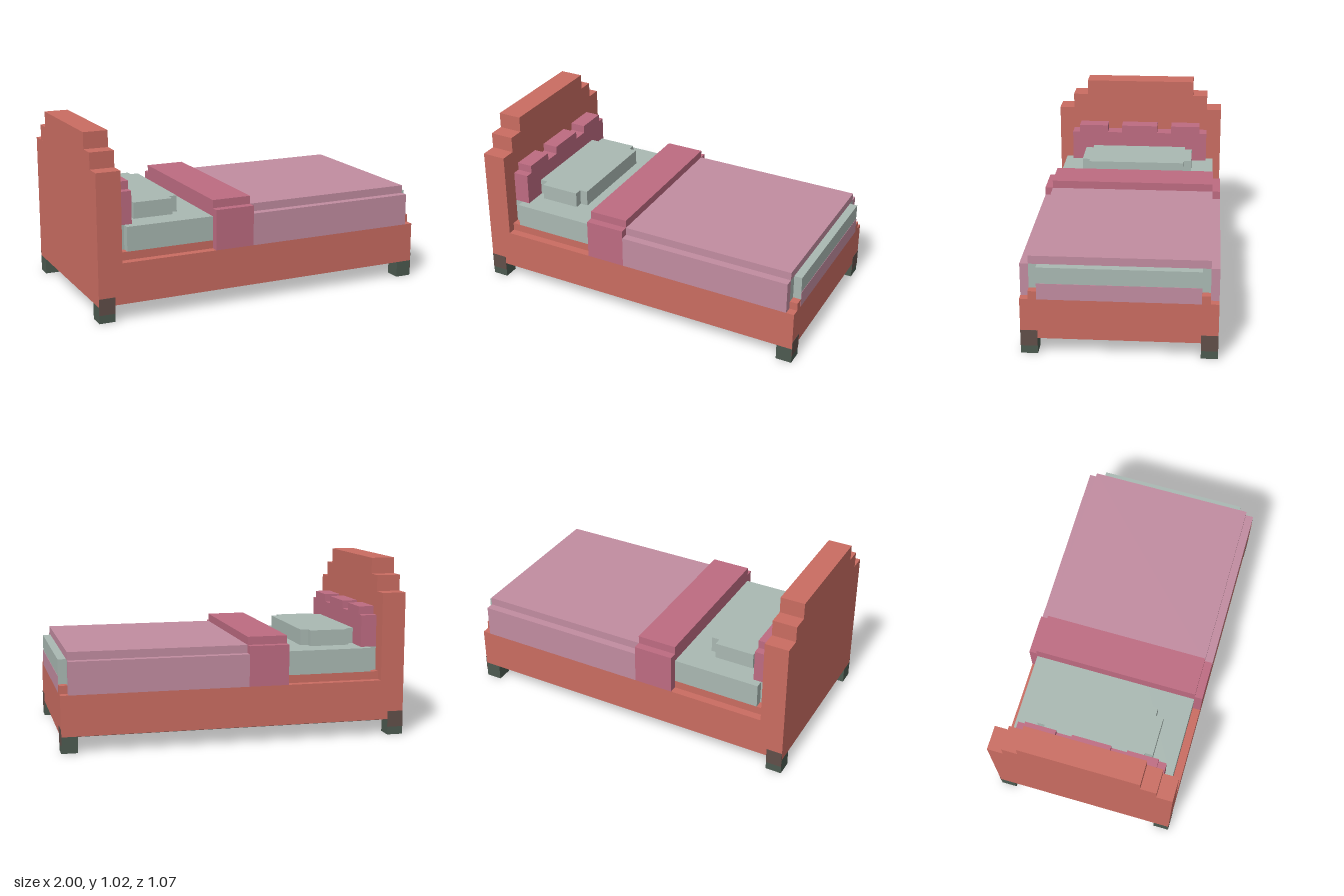
import * as THREE from 'three';

const V = 2 / 43; // one block of the model's grid

const mat = (name, color) => {
  const m = new THREE.MeshStandardMaterial({ color });
  m.name = name;
  return m;
};

export function createModel() {
  const red = mat('red wood', 0xc96c61);
  const rose = mat('rose fabric', 0xbd6b81);
  const pink = mat('pink blanket', 0xc18ca0);
  const linen = mat('pale linen', 0xa9b8b2);
  const dark = mat('dark green', 0x4c5a50);
  const brown = mat('brown', 0x614f49);

  const bed = new THREE.Group();
  bed.name = 'bed';

  const group = (name) => {
    const g = new THREE.Group();
    g.name = name;
    bed.add(g);
    return g;
  };
  // Block in grid units: x from the headboard end, y from the floor, z from the middle
  const box = (parent, name, material, x0, x1, y0, y1, z0, z1) => {
    const geo = new THREE.BoxGeometry((x1 - x0) * V, (y1 - y0) * V, (z1 - z0) * V);
    const mesh = new THREE.Mesh(geo, material);
    mesh.name = name;
    mesh.position.set(((x0 + x1) / 2 - 21.5) * V, ((y0 + y1) / 2) * V, ((z0 + z1) / 2) * V);
    parent.add(mesh);
    return mesh;
  };
  const wide = (parent, name, material, x0, x1, y0, y1, half) =>
    box(parent, name, material, x0, x1, y0, y1, -half, half);

  // Stepped headboard
  const headboard = group('headboard');
  [[2, 18, 11.5], [18, 20, 9.5], [20, 22, 7.5]].forEach(([y0, y1, half]) =>
    wide(headboard, 'headboardStep', red, 0, 3, y0, y1, half));

  // Frame with a raised inner ledge
  const frame = group('frame');
  wide(frame, 'frameBase', red, 3, 43, 2, 7, 11.5);
  wide(frame, 'frameLedge', red, 3, 43, 7, 8, 10.5);
  wide(frame, 'underside', dark, 0.8, 42.2, 1.96, 2.05, 10.7);
  box(frame, 'undersideEdge', brown, 2, 41, 1.94, 2.05, -11.4, -10.2);

  // Legs, with painted brown upper parts
  const legs = group('legs');
  for (const s of [-1, 1]) {
    const z0 = s > 0 ? 9.5 : -11.5;
    for (const x0 of [0, 41]) box(legs, 'leg', dark, x0, x0 + 2, 0, 2, z0, z0 + 2);
    box(legs, 'legPaint', brown, 42.95, 43.04, 1, 3, z0, z0 + 2);
    const face = s * 11.5;
    box(legs, 'legPaint', brown, 0, 2, 1, 3, face - 0.04, face + 0.04);
  }

  // Mattress, narrower at both ends
  const mattress = group('mattress');
  wide(mattress, 'mattressBody', linen, 4, 42, 8, 11, 10.5);
  wide(mattress, 'mattressCore', linen, 3, 43, 7.5, 11, 9.5);
  wide(mattress, 'mattressEndPaint', pink, 42.95, 43.04, 7, 9, 9.5);

  // Blanket with side drops and a thick turned-over fold
  const blanket = group('blanket');
  wide(blanket, 'blanketTop', pink, 20, 42, 11, 12, 10.5);
  wide(blanket, 'foldTop', rose, 15, 20, 11, 13, 10.5);
  for (const s of [-1, 1]) {
    const z0 = s > 0 ? 10.5 : -11.5;
    box(blanket, 'blanketSide', pink, 20, 42, 7, 11, z0, z0 + 1);
    box(blanket, 'foldSide', rose, 15, 20, 7, 12, z0, z0 + 1);
  }

  // Pillow with notched corners
  const pillow = group('pillow');
  wide(pillow, 'pillowMiddle', linen, 6, 11, 11, 13, 7.5);
  wide(pillow, 'pillowFront', linen, 11, 12, 11, 13, 6.5);
  wide(pillow, 'pillowBack', linen, 5, 6, 11, 13, 6.5);

  // Back cushion with three raised blocks
  const cushion = group('backCushion');
  wide(cushion, 'cushionBody', rose, 3, 5, 11, 15, 9.5);
  [[-8.5, -4.5], [-2.5, 2.5], [4.5, 8.5]].forEach(([z0, z1]) =>
    box(cushion, 'cushionTop', rose, 3, 5, 15, 16, z0, z1));

  return bed;
}
